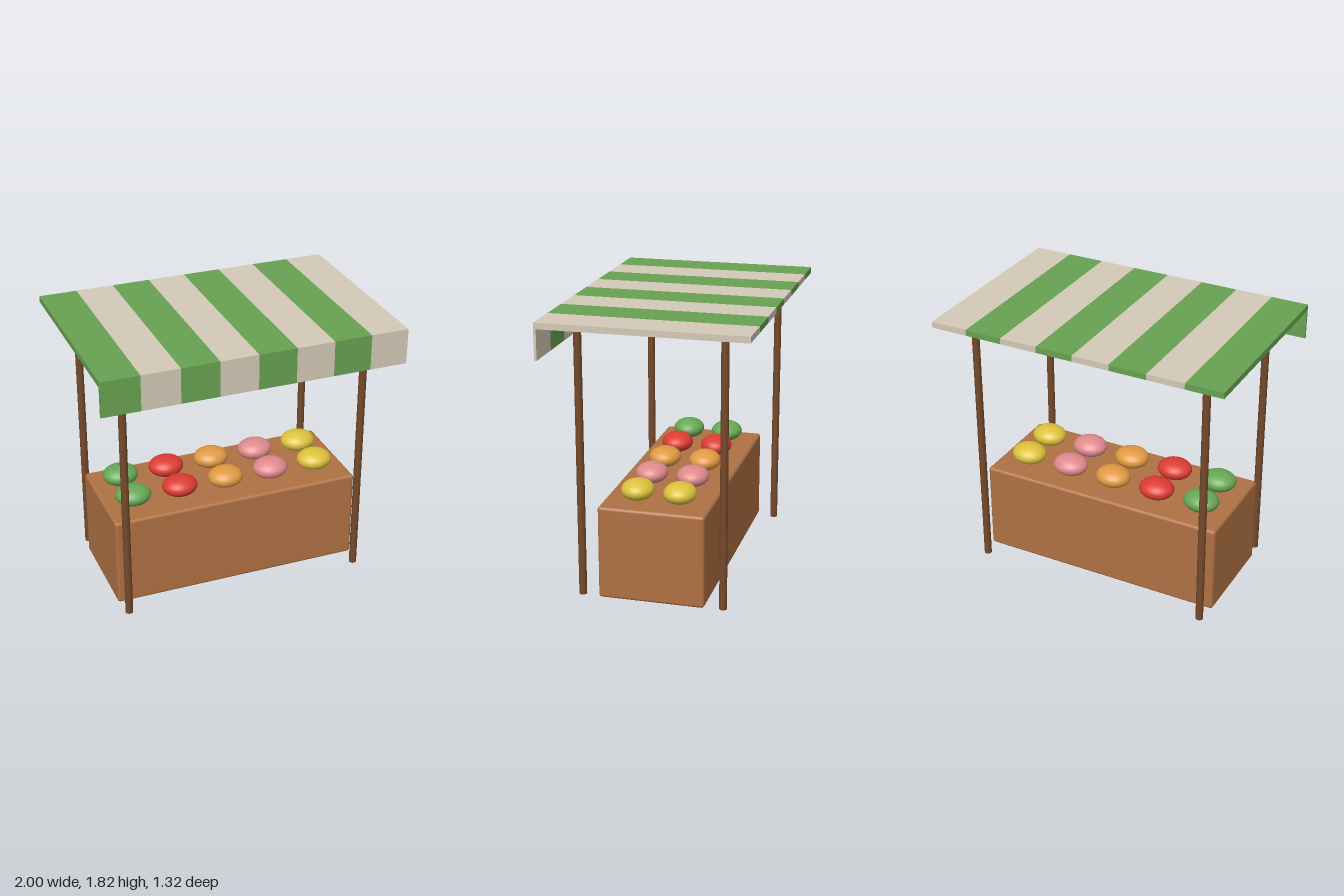
import * as THREE from 'three';
import { RoundedBoxGeometry } from 'three/addons/geometries/RoundedBoxGeometry.js';

const material = (name, color) => {
  const m = new THREE.MeshStandardMaterial({ color });
  m.name = name;
  return m;
};

export function createModel() {
  const model = new THREE.Group();
  model.name = 'marketStall';

  const wood = material('counter wood', 0xaf7143);
  const darkWood = material('post wood', 0x74492a);
  const green = material('awning green', 0x68a252);
  const cream = material('awning cream', 0xd3c9b7);
  const fruitColors = [
    material('fruit green', 0x67a855),
    material('fruit red', 0xdc3c32),
    material('fruit orange', 0xe09a42),
    material('fruit pink', 0xe08a8c),
    material('fruit yellow', 0xdcc23c),
  ];

  const add = (name, geometry, mat, x, y, z, parent = model) => {
    const mesh = new THREE.Mesh(geometry, mat);
    mesh.name = name;
    mesh.position.set(x, y, z);
    parent.add(mesh);
    return mesh;
  };

  const midZ = -0.007; // the frame sits slightly behind the valance

  // Counter with softly rounded edges
  add('counter', new RoundedBoxGeometry(1.69, 0.615, 0.69, 3, 0.02), wood, 0, 0.3075, midZ);

  // Four corner posts
  const postGeometry = new THREE.CylinderGeometry(0.025, 0.025, 1.776, 16);
  for (const sx of [-1, 1]) {
    for (const sz of [-1, 1]) {
      add('post', postGeometry, darkWood, sx * 0.808, 0.888, midZ + sz * 0.46);
    }
  }

  // Striped awning: flat roof strips, each with a hanging valance panel
  const awning = new THREE.Group();
  awning.name = 'awning';
  model.add(awning);
  const stripes = 8;
  const width = 2 / stripes;
  const roofGeometry = new THREE.BoxGeometry(width, 0.04, 1.305);
  const valanceGeometry = new THREE.BoxGeometry(width, 0.235, 0.016);
  for (let i = 0; i < stripes; i++) {
    const x = -1 + width * (i + 0.5);
    const mat = i % 2 ? cream : green;
    add('roofStripe', roofGeometry, mat, x, 1.796, midZ, awning);
    add('valance', valanceGeometry, mat, x, 1.6985, 0.6535, awning);
  }

  // Two rows of fruit, one colour per column
  const fruits = new THREE.Group();
  fruits.name = 'fruits';
  model.add(fruits);
  const fruitGeometry = new THREE.SphereGeometry(1, 24, 16).scale(0.119, 0.067, 0.106);
  fruitColors.forEach((mat, i) => {
    for (const side of [-1, 1]) {
      add('fruit', fruitGeometry, mat, -0.008 + (i - 2) * 0.323, 0.681, midZ + side * 0.138, fruits);
    }
  });

  return model;
}
